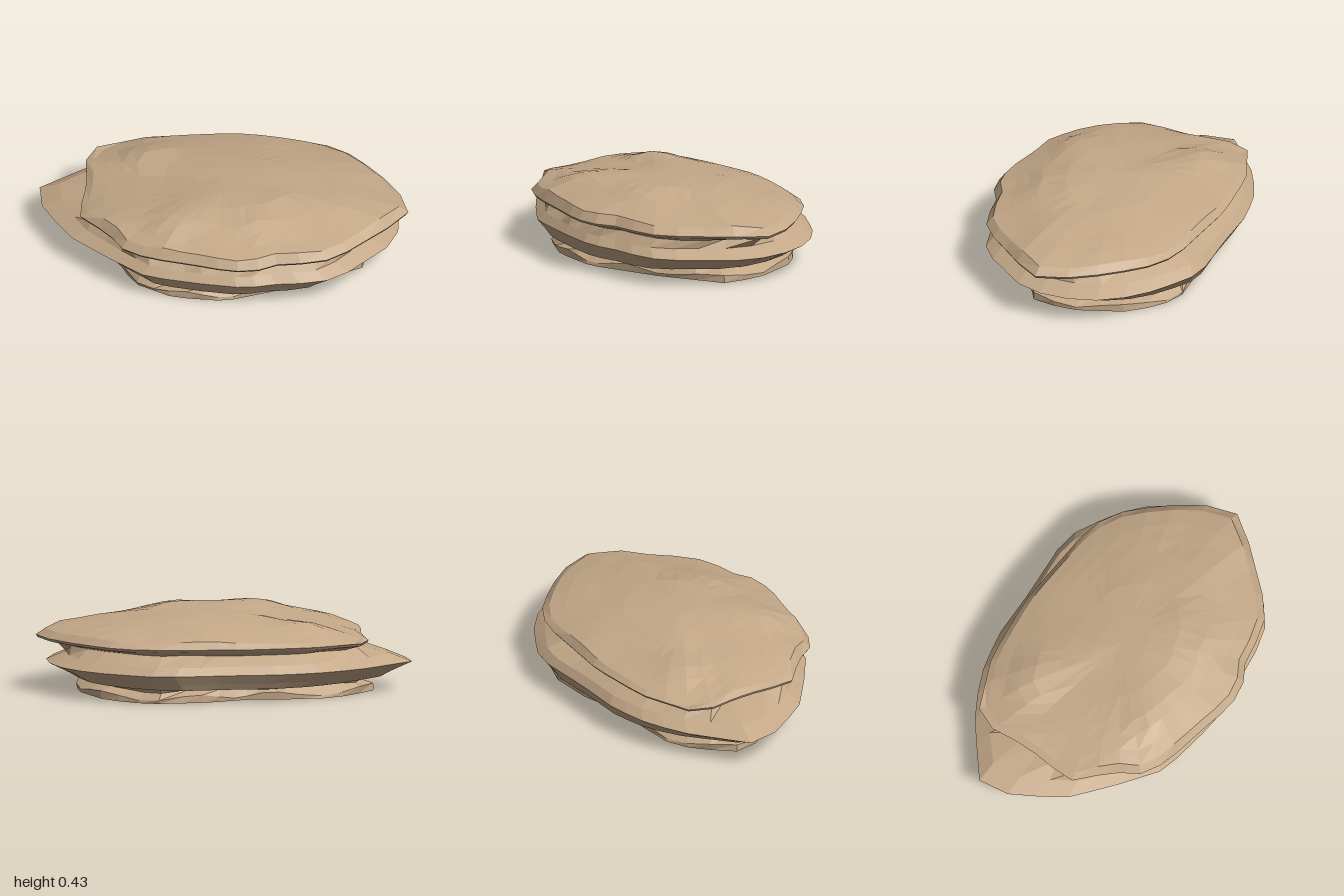
import * as THREE from 'three';

const SIDES = 38;

// Outlines as [x, z] corners, walked around the centre
const baseOutline = [[0.78, -0.1], [0.78, 0.12], [0.45, 0.34], [0.08, 0.52], [-0.2, 0.52], [-0.42, 0.42], [-0.54, 0.22],
  [-0.76, 0.05], [-0.8, -0.15], [-0.57, -0.39], [-0.3, -0.43], [-0.1, -0.43], [0.1, -0.52], [0.42, -0.56], [0.65, -0.4]];
const middleOutline = [[0.95, -0.1], [0.94, 0.1], [0.69, 0.45], [0.57, 0.52], [0.38, 0.55], [0.2, 0.61], [-0.05, 0.6],
  [-0.34, 0.57], [-0.57, 0.42], [-0.8, 0.25], [-1, -0.05], [-1, -0.17], [-0.7, -0.44], [-0.5, -0.54], [-0.3, -0.6],
  [0, -0.62], [0.28, -0.655], [0.43, -0.64], [0.65, -0.53], [0.85, -0.37], [0.91, -0.22]];
const topOutline = [[1, 0], [0.95, 0.1], [0.68, 0.45], [0.57, 0.52], [0.38, 0.55], [0.25, 0.635], [0.12, 0.65],
  [-0.05, 0.62], [-0.34, 0.58], [-0.47, 0.52], [-0.57, 0.38], [-0.73, 0.26], [-0.74, 0.1], [-0.73, -0.05],
  [-0.77, -0.3], [-0.72, -0.39], [-0.45, -0.52], [-0.08, -0.58], [0.42, -0.57], [0.58, -0.53], [0.75, -0.38], [0.92, -0.2]];

// Height spots [x, z, y] on the worn upper face
const spots = [[-0.08, 0.35, 0.44], [0.2, 0.33, 0.44], [0.34, 0.22, 0.438], [0.1, 0.1, 0.43], [-0.22, 0.36, 0.425],
  [-0.05, 0.46, 0.375], [0.2, 0.45, 0.37], [0.45, 0.33, 0.375], [0.12, 0.62, 0.33], [-0.1, 0.59, 0.33], [-0.4, 0.52, 0.325],
  [0.36, 0.53, 0.335], [0.56, 0.48, 0.33], [-0.4, 0.3, 0.375], [-0.33, 0, 0.375], [-0.52, -0.05, 0.345],
  [-0.42, -0.25, 0.395], [-0.1, -0.2, 0.4], [0.3, -0.2, 0.4], [0.65, 0.05, 0.385], [0.94, 0, 0.33], [0.68, 0.38, 0.33],
  [0.7, -0.35, 0.335], [0.2, -0.55, 0.33], [-0.4, -0.5, 0.31], [-0.72, -0.3, 0.295], [-0.72, 0.15, 0.295], [-0.6, 0.15, 0.34]];

const dome = (x, z) => 0.42 - 0.13 * x * x - 0.2 * (z - 0.2) ** 2;

// Gentle dome, corrected towards the nearby spots
function topHeight(x, z) {
  let sum = 0, weight = 0;
  for (const [sx, sz, y] of spots) {
    const w = 1 / (((x - sx) ** 2 + (z - sz) ** 2) ** 1.6 + 4e-4);
    sum += w * (y - dome(sx, sz));
    weight += w;
  }
  return dome(x, z) + sum / weight;
}

// Distance from the centre to an outline in a given direction
function reach(outline, angle) {
  const dx = Math.cos(angle), dz = Math.sin(angle);
  let best = 0;
  outline.forEach(([ax, az], i) => {
    const [bx, bz] = outline[(i + 1) % outline.length];
    const ex = bx - ax, ez = bz - az;
    const det = dx * ez - dz * ex;
    if (Math.abs(det) < 1e-9) return;
    const t = (ax * ez - az * ex) / det;
    const s = (ax * dz - az * dx) / det;
    if (t > 0 && s >= -1e-6 && s <= 1 + 1e-6) best = Math.max(best, t);
  });
  return best;
}

// Ring: scaled outline at height y (number or rule), with an uneven chipped edge
function ring(outline, sx, sz, y, chip = 0) {
  return Array.from({ length: SIDES }, (_, i) => {
    const a = (i / SIDES) * Math.PI * 2;
    const bite = 1 - chip * (0.5 + 0.5 * Math.sin(i * 1.1 + 2 * Math.sin(i * 0.6)));
    const r = reach(outline, a) * bite;
    const x = r * Math.cos(a) * sx, z = r * Math.sin(a) * sz;
    return [x, typeof y === 'function' ? y(x, z, i) : y, z];
  });
}

// Skin rings from bottom to top and close both ends
function stratum(name, rings, material, topY) {
  const points = rings.flat(2);
  const index = [];
  for (let r = 0; r < rings.length - 1; r++) {
    for (let i = 0; i < SIDES; i++) {
      const j = (i + 1) % SIDES;
      const a = r * SIDES + i, b = r * SIDES + j;
      index.push(a, a + SIDES, b, b, a + SIDES, b + SIDES);
    }
  }
  const low = points.length / 3, high = low + 1, last = (rings.length - 1) * SIDES;
  points.push(0, rings[0][0][1], 0, 0, topY, 0);
  for (let i = 0; i < SIDES; i++) {
    const j = (i + 1) % SIDES;
    index.push(low, i, j, high, last + j, last + i);
  }
  const indexed = new THREE.BufferGeometry();
  indexed.setAttribute('position', new THREE.Float32BufferAttribute(points, 3));
  indexed.setIndex(index);
  const geometry = indexed.toNonIndexed();
  geometry.computeVertexNormals();
  const mesh = new THREE.Mesh(geometry, material);
  mesh.name = name;
  return mesh;
}

export function createModel() {
  const group = new THREE.Group();
  group.name = 'layeredRock';
  const stone = new THREE.MeshStandardMaterial({ color: 0xc4a888, flatShading: true });

  // Chipped foot with a flat underside and a pinched neck
  group.add(stratum('baseLayer', [
    ring(baseOutline, 1, 1, 0),
    ring(baseOutline, 1.015, 1.01, (x, z, i) => 0.028 + 0.014 * Math.sin(i * 1.3), 0.02),
    ring(baseOutline, 0.98, 0.97, (x, z, i) => 0.058 + 0.008 * Math.sin(i * 0.9), 0.1),
    ring(baseOutline, 1, 1, 0.082, 0.04),
  ], stone, 0.082));

  // Wide middle ledge with a sharp rim, narrowing to the waist under the cap
  group.add(stratum('middleLayer', [
    ring(middleOutline, 0.83, 0.92, 0.077),
    ring(middleOutline, 0.89, 0.95, 0.11),
    ring(middleOutline, 1, 1, 0.16),
    ring(middleOutline, 0.89, 0.95, 0.203),
    ring(topOutline, 0.92, 0.89, 0.25, 0.07),
  ], stone, 0.25));

  // Sloping cap slab, undercut below and worn on top
  const cap = [
    ring(topOutline, 0.92, 0.89, 0.249, 0.07),
    ring(topOutline, 0.99, 0.98, 0.277),
    ring(topOutline, 1, 1, 0.292),
  ];
  for (const s of [0.95, 0.84, 0.73, 0.62, 0.42, 0.2]) cap.push(ring(topOutline, s, s, topHeight));
  group.add(stratum('topLayer', cap, stone, topHeight(0, 0)));

  return group;
}
